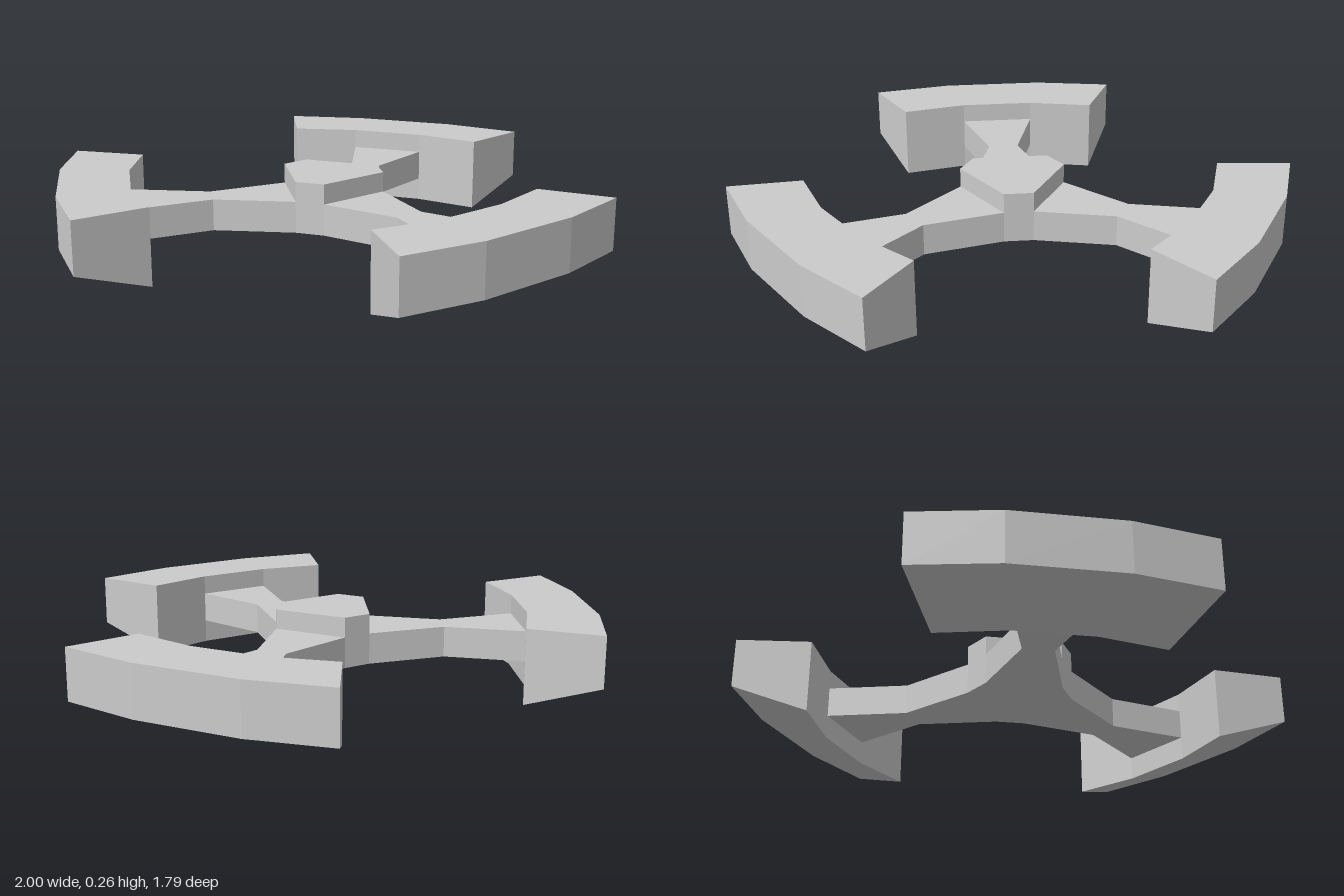
import * as THREE from 'three';

const BOTTOM = 0.085, ARM_TOP = 0.195, TOP = 0.265;

// Vertical prism from a plan outline of [x, z] points
function prism(points, y0, y1) {
  const shape = new THREE.Shape(points.map(([x, z]) => new THREE.Vector2(x, z)));
  const geometry = new THREE.ExtrudeGeometry(shape, { depth: y1 - y0, bevelEnabled: false });
  return geometry.rotateX(Math.PI / 2).translate(0, y1, 0);
}

// Curved pad: a four-sided section swept across x, underside rising outwards
function padGeometry() {
  const stations = [ // inner x, inner z, outer x, outer z
    [-0.37, -0.637, -0.48, -0.877],
    [-0.135, -0.69, -0.19, -0.932],
    [0.135, -0.69, 0.19, -0.932],
    [0.37, -0.637, 0.48, -0.877],
  ];
  const rings = stations.map(([ix, iz, ox, oz]) => [
    [ix, 0, iz], [ix, TOP, iz], [ox, TOP, oz], [ox, BOTTOM, oz],
  ]);
  const positions = [];
  const quad = (a, b, c, d) => positions.push(...a, ...b, ...c, ...a, ...c, ...d);
  for (let i = 0; i < rings.length - 1; i++) {
    for (let j = 0; j < 4; j++) {
      const k = (j + 1) % 4;
      quad(rings[i][j], rings[i + 1][j], rings[i + 1][k], rings[i][k]);
    }
  }
  quad(...rings[0]);
  quad(...[...rings[rings.length - 1]].reverse());
  const geometry = new THREE.BufferGeometry();
  geometry.setAttribute('position', new THREE.Float32BufferAttribute(positions, 3));
  geometry.computeVertexNormals();
  return geometry;
}

export function createModel() {
  const model = new THREE.Group();
  model.name = 'threeArmedFrame';
  model.position.z = 0.0375;
  const material = new THREE.MeshStandardMaterial({ color: 0xcccccc, flatShading: true });
  const add = (parent, name, geometry) => {
    const mesh = new THREE.Mesh(geometry, material);
    mesh.name = name;
    parent.add(mesh);
  };

  // Hexagonal hub with alternating long and short sides
  const hub = [];
  for (let i = 0; i < 3; i++) {
    const a = (i * 2 * Math.PI) / 3, c = Math.cos(a), s = Math.sin(a);
    for (const x of [-0.135, 0.135]) hub.push([x * c + 0.1375 * s, x * s - 0.1375 * c]);
  }
  add(model, 'hub', prism(hub, BOTTOM, TOP));

  // Three waisted arms, each carrying a pad
  const arm = prism([
    [-0.135, -0.1375], [0.135, -0.1375], [0.055, -0.4125],
    [0.135, -0.69], [-0.135, -0.69], [-0.055, -0.4125],
  ], BOTTOM, ARM_TOP);
  const pad = padGeometry();
  for (let i = 0; i < 3; i++) {
    const branch = new THREE.Group();
    branch.name = 'branch' + (i + 1);
    branch.rotation.y = (i * 2 * Math.PI) / 3;
    add(branch, 'arm', arm);
    add(branch, 'pad', pad);
    model.add(branch);
  }

  const group = new THREE.Group();
  group.add(model);
  return group;
}
